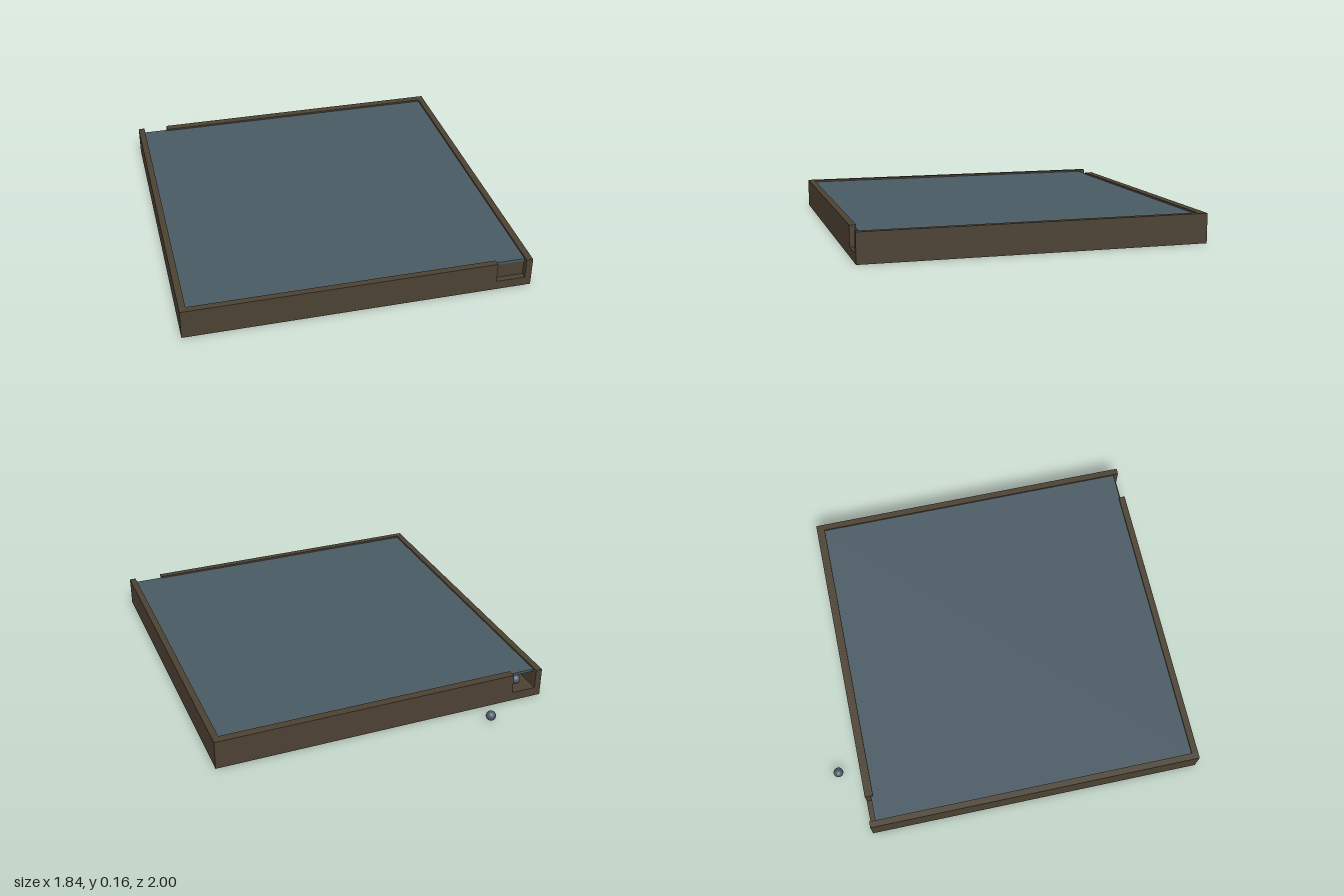
import * as THREE from 'three';

export function createModel() {
  const model = new THREE.Group();
  const wood = new THREE.MeshStandardMaterial({ color: 0x4c4133 });
  wood.name = 'dark wood';
  const slate = new THREE.MeshStandardMaterial({ color: 0x495a63 });
  slate.name = 'slate blue';

  // Box given by its lower and upper corners
  function box(name, material, [x0, y0, z0], [x1, y1, z1]) {
    const mesh = new THREE.Mesh(new THREE.BoxGeometry(x1 - x0, y1 - y0, z1 - z0), material);
    mesh.position.set((x0 + x1) / 2, (y0 + y1) / 2, (z0 + z1) / 2);
    mesh.name = name;
    model.add(mesh);
  }

  const W = 0.922, IN = 0.887, BACK = -0.845, FRONT = 1, TOP = 0.16, FLOOR = 0.05;

  // Tray floor and side walls
  box('floor', wood, [-W, 0, BACK], [W, FLOOR, FRONT]);
  box('rightWall', wood, [-W, FLOOR, BACK], [-IN, TOP, FRONT]);
  box('leftWall', wood, [IN, FLOOR, BACK], [W, TOP, FRONT]);

  // End walls, each stopping short to leave a corner opening
  box('frontWall', wood, [-IN, FLOOR, 0.965], [0.73, TOP, FRONT]);
  box('backWall', wood, [-0.75, FLOOR, BACK], [IN, TOP, -0.8]);

  // Inner wall closing the front opening below the cover
  box('frontInnerWall', wood, [0.73, FLOOR, 0.93], [IN, 0.135, 0.968]);

  // Cover panel, reaching into both openings
  box('cover', slate, [-IN, 0.135, -0.8], [IN, 0.15, 0.965]);
  box('coverBackTab', slate, [-IN, 0.135, -0.812], [-0.75, 0.15, -0.8]);
  box('coverFrontTab', slate, [0.73, 0.135, 0.965], [IN, 0.15, 0.972]);

  // One ball outside and one resting just inside the back opening
  const ballGeometry = new THREE.SphereGeometry(0.027, 24, 16);
  for (const [name, x, y, z] of [
    ['outerBall', -0.55, 0.032, -0.973],
    ['innerBall', -0.81, FLOOR + 0.027, -0.765],
  ]) {
    const ball = new THREE.Mesh(ballGeometry, slate);
    ball.position.set(x, y, z);
    ball.name = name;
    model.add(ball);
  }
  return model;
}
